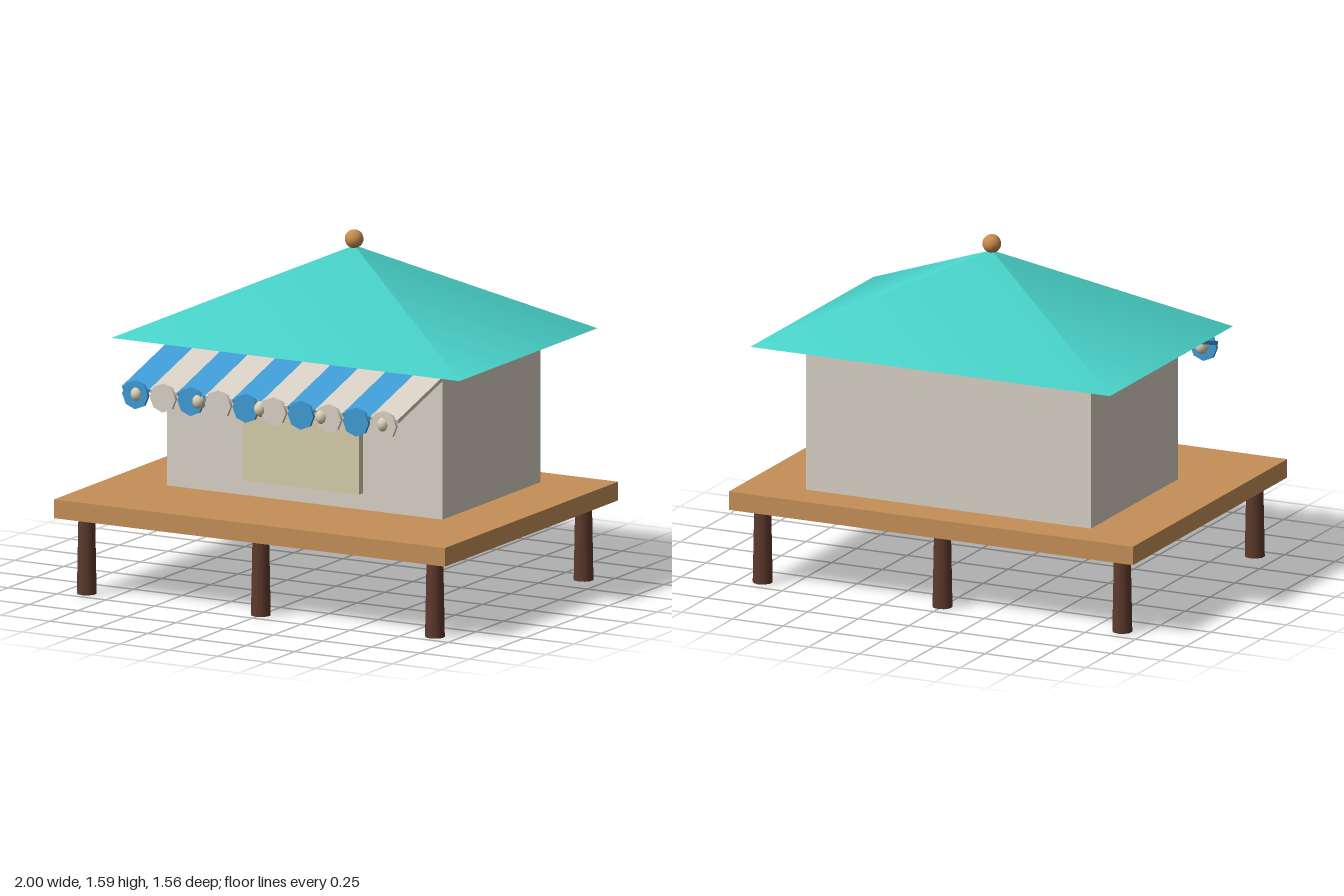
import * as THREE from 'three';

const mat = (name, color) => {
  const m = new THREE.MeshStandardMaterial({ color });
  m.name = name;
  return m;
};

export function createModel() {
  const model = new THREE.Group();
  model.name = 'stiltHut';

  const deckWood = mat('deck wood', 0xc48f58);
  const darkWood = mat('dark wood', 0x5e3a2c);
  const plaster = mat('pale plaster', 0xd8d0c4);
  const shutterTan = mat('shutter tan', 0xd6cda8);
  const turquoise = mat('turquoise roof', 0x48d1c8);
  const blue = mat('awning blue', 0x3f9bd4);
  const shellCream = mat('shell cream', 0xdcd0b4);
  const copper = mat('finial copper', 0xc88a4e);

  const add = (name, geometry, material, x, y, z, parent = model) => {
    const mesh = new THREE.Mesh(geometry, material);
    mesh.name = name;
    mesh.position.set(x, y, z);
    parent.add(mesh);
    return mesh;
  };

  // Platform on six tapered stilts
  add('deck', new THREE.BoxGeometry(2, 0.085, 1.556), deckWood, 0, 0.3925, 0);
  const stilt = new THREE.CylinderGeometry(0.038, 0.045, 0.35, 10);
  for (const x of [-0.89, 0, 0.89]) {
    for (const z of [0.675, -0.66]) add('stilt', stilt, darkWood, x, 0.175, z);
  }

  // Hut body and front serving hatch
  add('walls', new THREE.BoxGeometry(1.41, 0.685, 0.88), plaster, 0, 0.7775, -0.16);
  add('servingHatch', new THREE.BoxGeometry(0.594, 0.405, 0.07), shutterTan, 0, 0.7125, 0.28);

  // Four-sided roof with a ball on the peak
  const roof = new THREE.ConeGeometry(Math.SQRT2, 0.4, 4);
  roof.rotateY(Math.PI / 4);
  roof.scale(0.89, 1, 0.62);
  add('roof', roof, turquoise, 0, 1.32, -0.165);
  add('finial', new THREE.SphereGeometry(0.042, 16, 12), copper, 0, 1.55, -0.163);

  // Striped sloping awning, each stripe ending in a round scallop
  const awning = new THREE.Group();
  awning.name = 'awning';
  model.add(awning);
  const width = 0.141;
  const stripe = new THREE.BoxGeometry(width, 0.018, 0.417);
  const scallop = new THREE.CylinderGeometry(0.066, 0.066, 0.016, 8);
  scallop.rotateX(Math.PI / 2);
  for (let i = 0; i < 10; i++) {
    const x = (i - 4.5) * width;
    const material = i % 2 ? plaster : blue;
    add('awningStripe', stripe, material, x, 1.017, 0.48, awning).rotation.x = 0.285;
    add('awningScallop', scallop, material, x, 0.935, 0.683, awning);
  }

  // Shell ornaments along the awning edge
  const shell = new THREE.SphereGeometry(0.036, 12, 10);
  shell.scale(0.85, 1, 1);
  for (let i = -2; i <= 2; i++) {
    add('shellOrnament', shell, shellCream, i * 0.315, 0.938, 0.673, awning);
  }

  return model;
}
